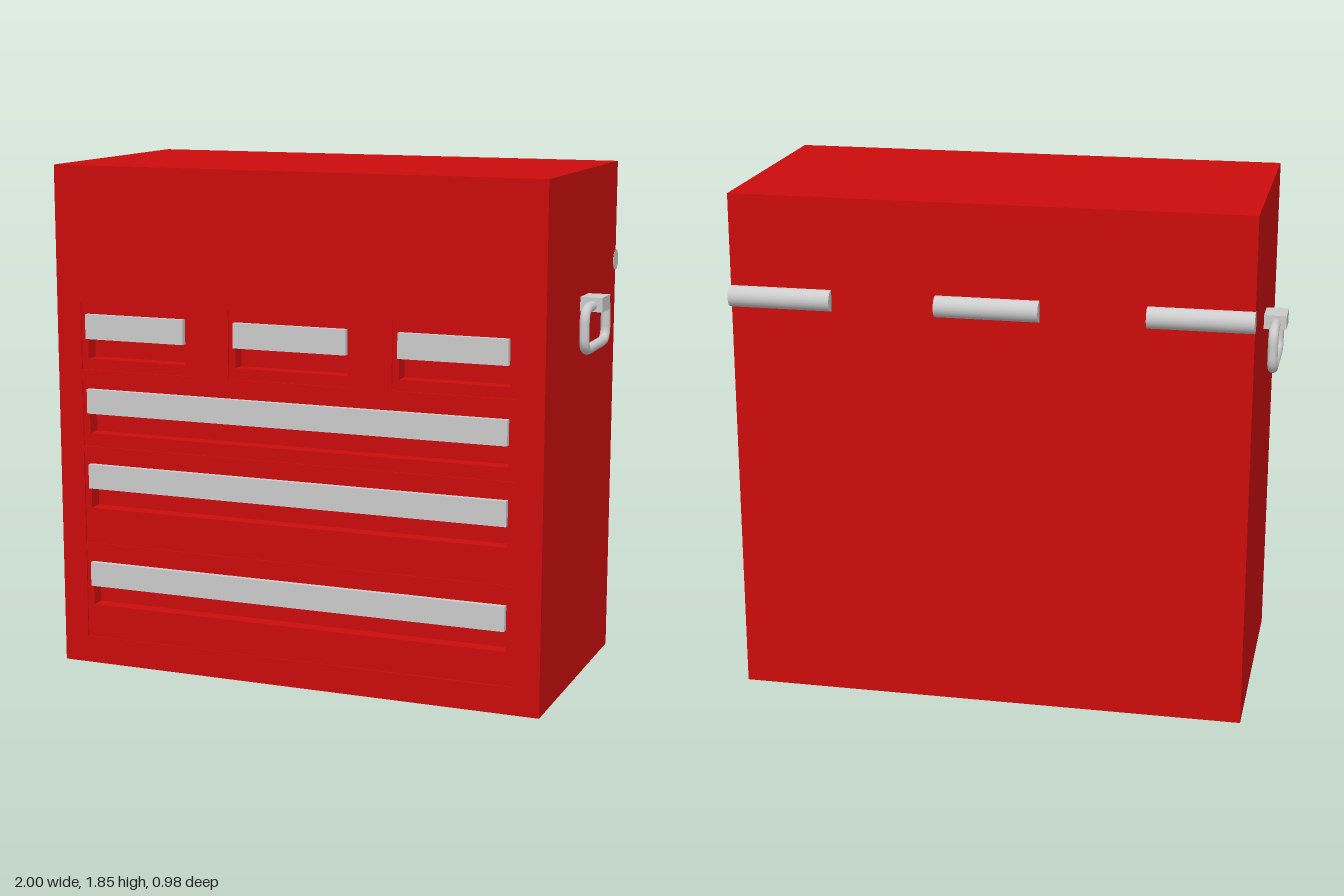
import * as THREE from 'three';

const red = new THREE.MeshStandardMaterial({ color: 0xcc0c0c });
red.name = 'red paint';
const steel = new THREE.MeshStandardMaterial({ color: 0xcccccc });
steel.name = 'light steel';

const BACK = -0.45, CORE = 0.415, PANEL = 0.469, FRONT = 0.475;
const HALF_W = 0.92, HEIGHT = 1.85;

// drawers: outer edges [x0, x1, y0, y1] and the grip slot within each
const drawers = [
  { edge: [-0.825, -0.385, 1.11, 1.355], slot: [-0.8, -0.41, 1.15, 1.315] },
  { edge: [-0.24, 0.235, 1.11, 1.355], slot: [-0.215, 0.21, 1.15, 1.315] },
  { edge: [0.375, 0.82, 1.11, 1.355], slot: [0.4, 0.795, 1.15, 1.315] },
  ...[[0.825, 1.08], [0.46, 0.8], [0.1, 0.43]].map(([y0, y1]) => ({
    edge: [-0.825, 0.82, y0, y1],
    slot: [-0.8, 0.795, y1 - 0.207, y1 - 0.04],
  })),
];

function rectPoints([x0, x1, y0, y1]) {
  return [[x0, y0], [x1, y0], [x1, y1], [x0, y1]].map(([x, y]) => new THREE.Vector2(x, y));
}

// box given by its limits on each axis
function box(name, material, x0, x1, y0, y1, z0, z1) {
  const mesh = new THREE.Mesh(new THREE.BoxGeometry(x1 - x0, y1 - y0, z1 - z0), material);
  mesh.position.set((x0 + x1) / 2, (y0 + y1) / 2, (z0 + z1) / 2);
  mesh.name = name;
  return mesh;
}

// upright sheet with rectangular openings
function sheet(name, outer, holes, z0, z1) {
  const shape = new THREE.Shape(rectPoints(outer));
  for (const h of holes) shape.holes.push(new THREE.Path(rectPoints(h)));
  const geometry = new THREE.ExtrudeGeometry(shape, { depth: z1 - z0, bevelEnabled: false });
  const mesh = new THREE.Mesh(geometry, red);
  mesh.position.z = z0;
  mesh.name = name;
  return mesh;
}

// rounded rectangular carrying ring lying in the yz plane
function ringGeometry(z0, z1, y0, y1, corner, radius) {
  const path = new THREE.CurvePath();
  const v = (y, z) => new THREE.Vector3(0, y, z);
  const corners = [v(y0, z0), v(y0, z1), v(y1, z1), v(y1, z0)];
  corners.forEach((c, i) => {
    const prev = corners[(i + 3) % 4], next = corners[(i + 1) % 4];
    const toward = (p) => c.clone().add(p.clone().sub(c).setLength(corner));
    const start = toward(prev), end = toward(next);
    const nextStart = next.clone().add(c.clone().sub(next).setLength(corner));
    path.add(new THREE.QuadraticBezierCurve3(start, c, end));
    path.add(new THREE.LineCurve3(end, nextStart));
  });
  return new THREE.TubeGeometry(path, 96, radius, 12, true);
}

export function createModel() {
  const model = new THREE.Group();
  model.name = 'toolCabinet';

  // cabinet body, slotted drawer fronts and the surrounding frame
  const face = [-HALF_W, HALF_W, 0, HEIGHT];
  model.add(box('cabinetBody', red, -HALF_W, HALF_W, 0, HEIGHT, BACK, CORE));
  model.add(sheet('drawerFronts', face, drawers.map((d) => d.slot), CORE, PANEL));
  model.add(sheet('frontFrame', face, drawers.map((d) => d.edge), PANEL, FRONT));

  // drawer pulls across the upper part of each slot
  for (const { slot: [x0, x1, , y1] } of drawers) {
    model.add(box('drawerPull', steel, x0, x1, y1 - 0.09, y1, 0.465, 0.49));
  }

  // side handles: bracket and ring
  const ring = ringGeometry(-0.155, 0.14, 1.231, 1.378, 0.05, 0.018);
  for (const side of [-1, 1]) {
    const handle = new THREE.Group();
    handle.name = side > 0 ? 'leftHandle' : 'rightHandle';
    const inner = side * HALF_W, outer = side;
    handle.add(box('handleBracket', steel, Math.min(inner, outer), Math.max(inner, outer),
      1.357, 1.408, -0.062, 0.046));
    const loop = new THREE.Mesh(ring, steel);
    loop.name = 'handleRing';
    loop.position.x = side * 0.962;
    handle.add(loop);
    model.add(handle);
  }

  // lid hinges along the back
  for (const x of [-0.738, 0, 0.738]) {
    const hinge = new THREE.Mesh(new THREE.CylinderGeometry(0.038, 0.038, 0.366, 24), steel);
    hinge.rotation.z = Math.PI / 2;
    hinge.position.set(x, 1.485, -0.452);
    hinge.name = 'hinge';
    model.add(hinge);
  }
  return model;
}
